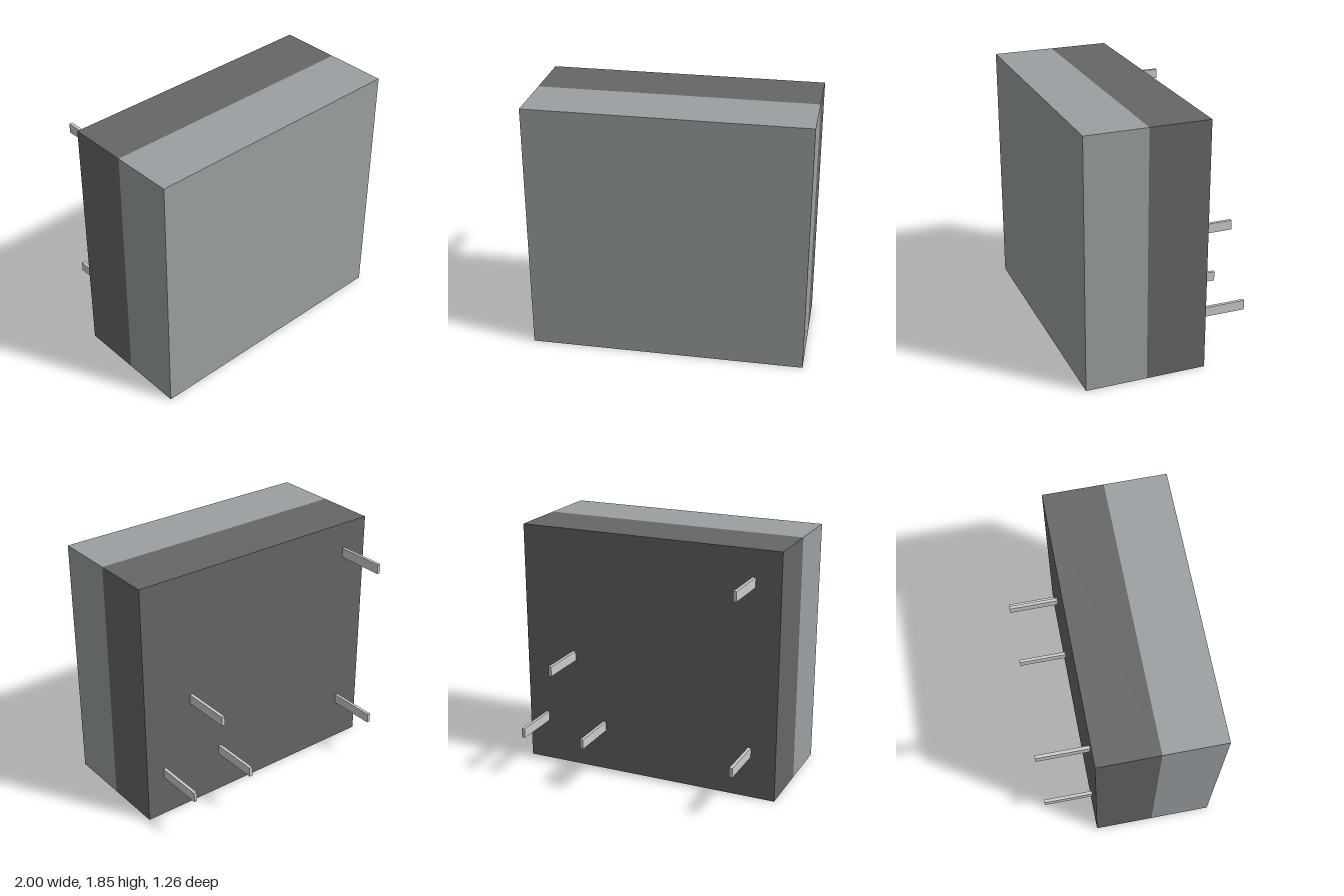
import * as THREE from 'three';

const WIDTH = 2, HEIGHT = 1.85;
const FRONT = 0.63, SEAM = 0.18, BACK = -0.26, PIN_TIP = -0.63;

export function createModel() {
  const model = new THREE.Group();
  model.name = 'relay';

  const coverMaterial = new THREE.MeshStandardMaterial({ color: 0x9aa0a2 });
  const baseMaterial = new THREE.MeshStandardMaterial({ color: 0x666666 });
  const pinMaterial = new THREE.MeshStandardMaterial({ color: 0xcccbc7 });

  // Box centred on (x, y), reaching from z0 back to z1
  function addBlock(name, material, width, height, x, y, z0, z1) {
    const mesh = new THREE.Mesh(new THREE.BoxGeometry(width, height, z0 - z1), material);
    mesh.position.set(x, y, (z0 + z1) / 2);
    mesh.name = name;
    model.add(mesh);
  }

  // Two-part housing
  addBlock('cover', coverMaterial, WIDTH, HEIGHT, 0, HEIGHT / 2, FRONT, SEAM);
  addBlock('base', baseMaterial, WIDTH, HEIGHT, 0, HEIGHT / 2, SEAM, BACK);

  // Flat contact pins on the back
  const pins = [[-0.8, 1.616], [-0.8, 0.351], [0.605, 0.879], [0.36, 0.351], [0.85, 0.351]];
  pins.forEach(([x, y], i) =>
    addBlock(`contactPin${i + 1}`, pinMaterial, 0.024, 0.072, x, y, BACK, PIN_TIP));

  return model;
}
